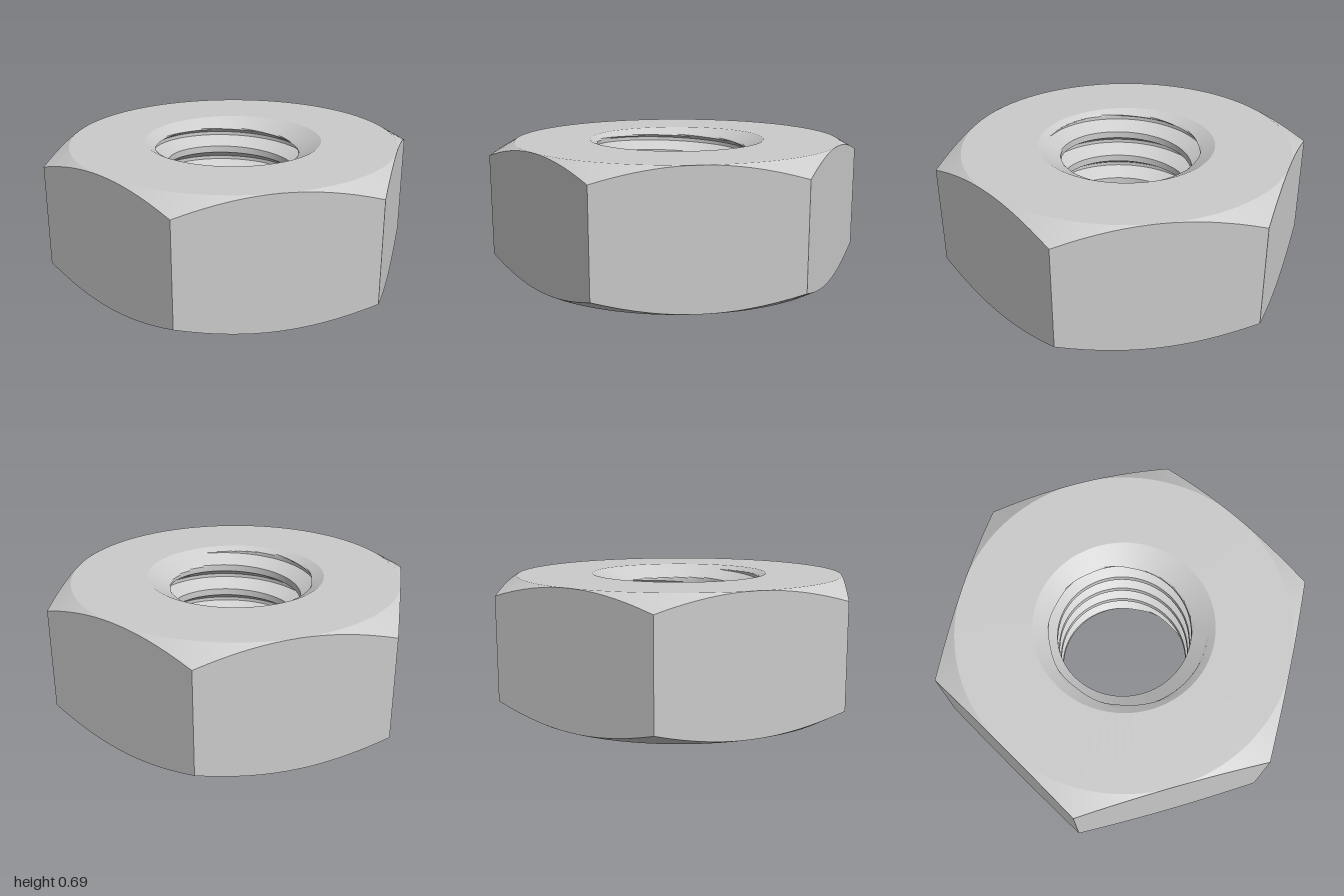
import * as THREE from 'three';
import { toCreasedNormals } from 'three/addons/utils/BufferGeometryUtils.js';

const H = 0.693;              // nut height
const FLAT = Math.sqrt(0.75); // centre to flat, corners at radius 1
const SLOPE = Math.tan(Math.PI / 6);
const SINK = 0.468;           // countersink rim radius
const MINOR = 0.35, MAJOR = 0.43, PITCH = 0.148;
const SEGMENTS = 96;

// Sweeps a column of [radius, y] points, which may vary with the angle, round the y axis.
function sweep(column, crease) {
  const positions = [];
  const a = new THREE.Vector3(), b = new THREE.Vector3();
  const addTriangle = (p, q, r) => {
    const area = a.subVectors(q, p).cross(b.subVectors(r, p)).length();
    if (area > 1e-8) for (const v of [p, q, r]) positions.push(v.x, v.y, v.z);
  };
  const ring = (i) => {
    const t = (i / SEGMENTS) * Math.PI * 2;
    return column(t).map(([r, y]) => new THREE.Vector3(r * Math.cos(t), y, -r * Math.sin(t)));
  };
  let current = ring(0);
  for (let i = 0; i < SEGMENTS; i++) {
    const next = ring(i + 1);
    for (let j = 0; j < current.length - 1; j++) {
      addTriangle(current[j], current[j + 1], next[j + 1]);
      addTriangle(current[j], next[j + 1], next[j]);
    }
    current = next;
  }
  const geometry = new THREE.BufferGeometry();
  geometry.setAttribute('position', new THREE.Float32BufferAttribute(positions, 3));
  return toCreasedNormals(geometry, crease);
}

// Hexagon whose corners are cut by a shallow cone above and below
function bodyColumn(t) {
  const sector = Math.PI / 3;
  const r = FLAT / Math.cos((t % sector) - sector / 2);
  const drop = (r - FLAT) * SLOPE;
  return [[SINK, H], [FLAT, H], [r, H - drop], [r, drop], [FLAT, 0], [SINK, 0]];
}

// One thread period, upwards: root, upper flank, crest, lower flank
const THREAD = [[MAJOR, 0], [MAJOR, 0.019], [MINOR, 0.065], [MINOR, 0.102], [MAJOR, PITCH]];
const STEPS = 6;

// Right-hand helical thread, opened by a countersink at both ends
function boreColumn(t) {
  const start = 0.65 + PITCH * (t / (Math.PI * 2) + 74 / 360);
  const points = [];
  const add = (r, y) => {
    const cy = THREE.MathUtils.clamp(y, 0, H);
    const cone = SINK - Math.min(cy, H - cy) / SLOPE;
    points.push([Math.max(r, cone), cy]);
  };
  for (let turn = 6; turn >= 0; turn--) {
    for (let k = 0; k < THREAD.length - 1; k++) {
      const [r0, y0] = THREAD[k], [r1, y1] = THREAD[k + 1];
      for (let s = 0; s < STEPS; s++) {
        const f = s / STEPS;
        add(r0 + (r1 - r0) * f, start - turn * PITCH + y0 + (y1 - y0) * f);
      }
    }
  }
  add(MAJOR, start + PITCH);
  return points;
}

export function createModel() {
  const group = new THREE.Group();
  group.name = 'hexNut';
  const material = new THREE.MeshStandardMaterial({ color: 0xcccccc });
  const addPart = (name, geometry) => {
    const mesh = new THREE.Mesh(geometry, material);
    mesh.name = name;
    group.add(mesh);
  };
  addPart('hexBody', sweep(bodyColumn, 0.35));
  addPart('threadedBore', sweep(boreColumn, 0.5));
  return group;
}
